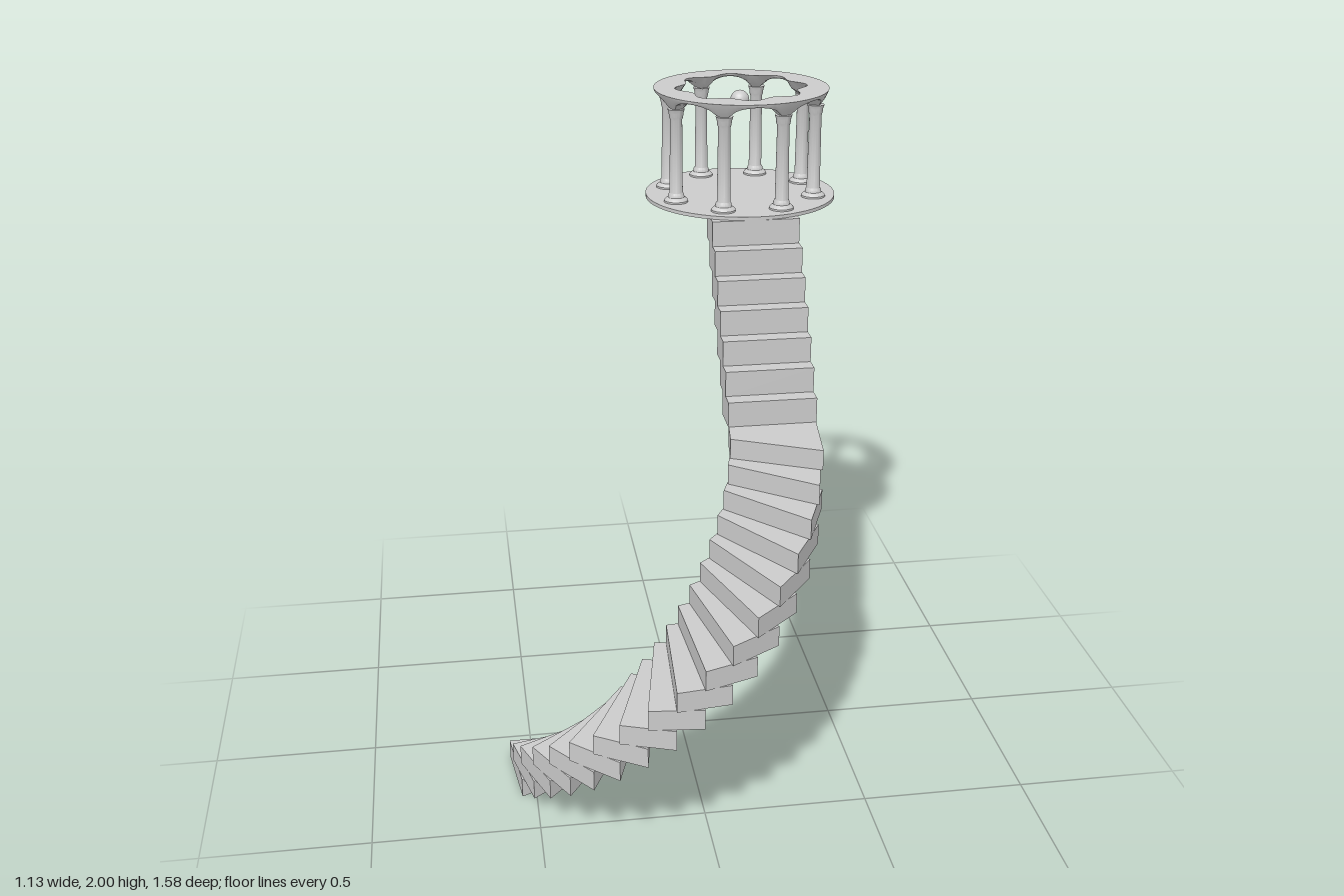
import * as THREE from 'three';
import { toCreasedNormals } from 'three/addons/utils/BufferGeometryUtils.js';

const material = new THREE.MeshStandardMaterial({ color: 0xcccccc });

function add(parent, name, geometry, x = 0, y = 0, z = 0) {
  const mesh = new THREE.Mesh(geometry, material);
  mesh.name = name;
  mesh.position.set(x, y, z);
  parent.add(mesh);
  return mesh;
}

// Upright slab over four [x, z] corners
function slab(corners, height) {
  const shape = new THREE.Shape(corners.map(([x, z]) => new THREE.Vector2(x, -z)));
  return new THREE.ExtrudeGeometry(shape, { depth: height, bevelEnabled: false }).rotateX(-Math.PI / 2);
}

// Winding flight: wedges on an elliptical half turn, each overlapping the next by half
function windingSteps() {
  const group = new THREE.Group();
  group.name = 'windingSteps';
  const count = 18, rise = 0.0617, turn = Math.PI / (count + 1);
  const at = (a, rx, rz) => [-0.0875 - rx * Math.cos(a), 0.115 + rz * Math.sin(a)];
  for (let i = 0; i < count; i++) {
    const a = i * turn, b = (i + 2) * turn;
    const corners = [at(a, 0.4825, 0.675), at(b, 0.4825, 0.675), at(b, 0.215, 0.3), at(a, 0.215, 0.3)];
    add(group, 'windingStep', slab(corners, rise), 0, i * rise, 0);
  }
  return group;
}

// Straight flight up to the platform
function straightSteps() {
  const group = new THREE.Group();
  group.name = 'straightSteps';
  const rise = 0.0778, pitch = 0.0517;
  const box = new THREE.BoxGeometry(0.27, rise, pitch * 2);
  for (let i = 0; i < 7; i++) {
    add(group, 'straightStep', box, 0.26, 1.1106 + (i + 0.5) * rise, 0.122 - (i + 1) * pitch);
  }
  return group;
}

// Ring whose underside drops to each column and rises in an arch between them
function archedRing() {
  const bays = 8, perBay = 16, n = bays * perBay, bay = (Math.PI * 2) / bays;
  const positions = [], index = [];
  const mix = THREE.MathUtils.lerp;
  for (let i = 0; i < n; i++) {
    const a = (i / n) * Math.PI * 2;
    const fromMid = Math.abs(a - Math.round(a / bay) * bay);
    const arch = Math.sqrt(Math.max(0, 1 - (fromMid / (bay * 0.39)) ** 2));
    const wave = 0.5 + 0.5 * Math.cos(a * bays);
    const bottom = 1.955 + 0.035 * arch;
    const profile = [
      [0.275, 2], [mix(0.264, 0.274, arch), mix(1.975, 1.994, arch)], [mix(0.25, 0.27, arch), bottom],
      [mix(0.222, 0.218, arch), bottom], [mix(0.198, 0.212, arch), mix(1.972, 1.993, arch)], [mix(0.178, 0.21, wave), 2],
    ];
    const m = profile.length;
    profile.forEach(([r, y], j) => {
      positions.push(r * Math.cos(a), y, r * Math.sin(a));
      const k = (j + 1) % m, next = ((i + 1) % n) * m;
      index.push(i * m + j, next + j, i * m + k, i * m + k, next + j, next + k);
    });
  }
  const geometry = new THREE.BufferGeometry();
  geometry.setAttribute('position', new THREE.Float32BufferAttribute(positions, 3));
  geometry.setIndex(index);
  return toCreasedNormals(geometry, 0.6);
}

// Round column with a moulded base and small capital
function columnGeometry() {
  const profile = [
    [0, 0], [0.038, 0], [0.038, 0.006], [0.033, 0.012], [0.026, 0.016], [0.025, 0.024],
    [0.021, 0.03], [0.019, 0.26], [0.022, 0.268], [0.023, 0.28], [0.027, 0.292], [0, 0.292],
  ].map(([r, y]) => new THREE.Vector2(r, y));
  return toCreasedNormals(new THREE.LatheGeometry(profile, 20), 0.6);
}

export function createModel() {
  const model = new THREE.Group();
  model.name = 'stairToPavilion';
  model.add(windingSteps(), straightSteps());

  const pavilion = new THREE.Group();
  pavilion.name = 'pavilion';
  pavilion.position.set(0.263, 0, -0.49);
  model.add(pavilion);

  add(pavilion, 'platform', new THREE.CylinderGeometry(0.302, 0.302, 0.011, 64), 0, 1.66, 0);
  add(pavilion, 'archedRing', archedRing());
  add(pavilion, 'floatingBall', new THREE.SphereGeometry(0.03, 24, 16), -0.002, 1.957, -0.012);

  const column = columnGeometry();
  for (let i = 0; i < 8; i++) {
    const a = ((i + 0.5) / 8) * Math.PI * 2;
    add(pavilion, 'column', column, 0.237 * Math.cos(a), 1.665, 0.237 * Math.sin(a));
  }
  return model;
}
